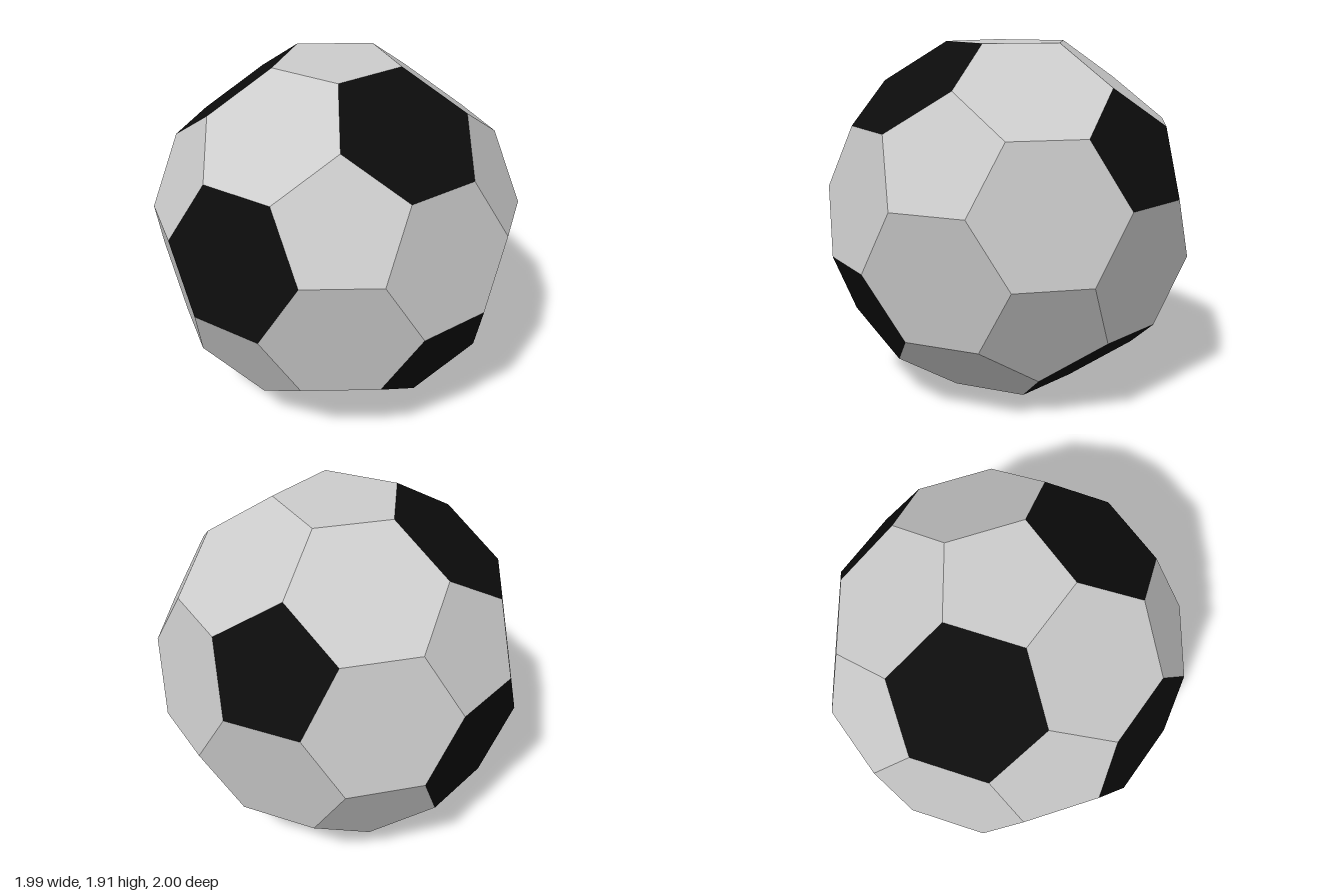
import * as THREE from 'three';

// Truncated icosahedron ball standing on a pentagon
const EDGE = 0.41;                 // edge of every panel
const CORE = 3 * EDGE * 0.95106;   // circumradius of the untruncated icosahedron
const TURN = THREE.MathUtils.degToRad(6.17);

// Black panels, named by the icosahedron corners they belong to
const BLACK = new Set(['5', '6', '0-1-2', '0-3-4', '2-3-7', '4-8-9', '7-8-11', '9-10-11']);

// Corners: 0 top, 1-5 upper ring, 6-10 lower ring, 11 bottom
function icosahedronCorners() {
  const h = CORE / Math.sqrt(5);
  const ring = (y, shift) => Array.from({ length: 5 }, (_, k) => {
    const a = TURN + shift + k * Math.PI * 0.4;
    return new THREE.Vector3(2 * h * Math.cos(a), y, 2 * h * Math.sin(a));
  });
  return [new THREE.Vector3(0, CORE, 0), ...ring(h, 0), ...ring(-h, Math.PI / 5), new THREE.Vector3(0, -CORE, 0)];
}

// Flat convex panel: sort its points around the outward normal and fan them
function panelGeometry(points) {
  const centre = points.reduce((s, p) => s.add(p), new THREE.Vector3()).divideScalar(points.length);
  const n = centre.clone().normalize();
  const u = points[0].clone().sub(centre).normalize();
  const v = n.clone().cross(u);
  const angle = (p) => {
    const d = p.clone().sub(centre);
    return Math.atan2(d.dot(v), d.dot(u));
  };
  const loop = [...points].sort((a, b) => angle(a) - angle(b));
  const tris = [];
  for (let i = 1; i < loop.length - 1; i++) tris.push(loop[0], loop[i], loop[i + 1]);
  const g = new THREE.BufferGeometry().setFromPoints(tris);
  g.computeVertexNormals();
  return g;
}

export function createModel() {
  const group = new THREE.Group();
  group.name = 'ball';
  const grey = new THREE.MeshStandardMaterial({ color: 0xcccccc, flatShading: true });
  const black = new THREE.MeshStandardMaterial({ color: 0x0c0c0c, flatShading: true });

  const c = icosahedronCorners();
  const adjacent = (i, j) => i !== j && c[i].distanceTo(c[j]) < 3.3 * EDGE;
  const cut = (i, j) => c[i].clone().lerp(c[j], 1 / 3); // third point next to corner i

  const addPanel = (kind, ids, points) => {
    const isBlack = BLACK.has(ids.join('-'));
    const mesh = new THREE.Mesh(panelGeometry(points), isBlack ? black : grey);
    mesh.name = (isBlack ? 'black' : 'grey') + kind;
    group.add(mesh);
  };

  for (let i = 0; i < 12; i++) {
    // Pentagon where corner i is cut off
    const around = c.map((_, j) => j).filter((j) => adjacent(i, j));
    addPanel('Pentagon', [i], around.map((j) => cut(i, j)));

    // Hexagon left of each triangular face
    for (let j = i + 1; j < 12; j++) {
      for (let k = j + 1; k < 12; k++) {
        if (!adjacent(i, j) || !adjacent(j, k) || !adjacent(i, k)) continue;
        addPanel('Hexagon', [i, j, k],
          [cut(i, j), cut(j, i), cut(j, k), cut(k, j), cut(k, i), cut(i, k)]);
      }
    }
  }

  // Rest the bottom pentagon on the ground
  group.position.y = CORE - (CORE - CORE / Math.sqrt(5)) / 3;
  return group;
}
